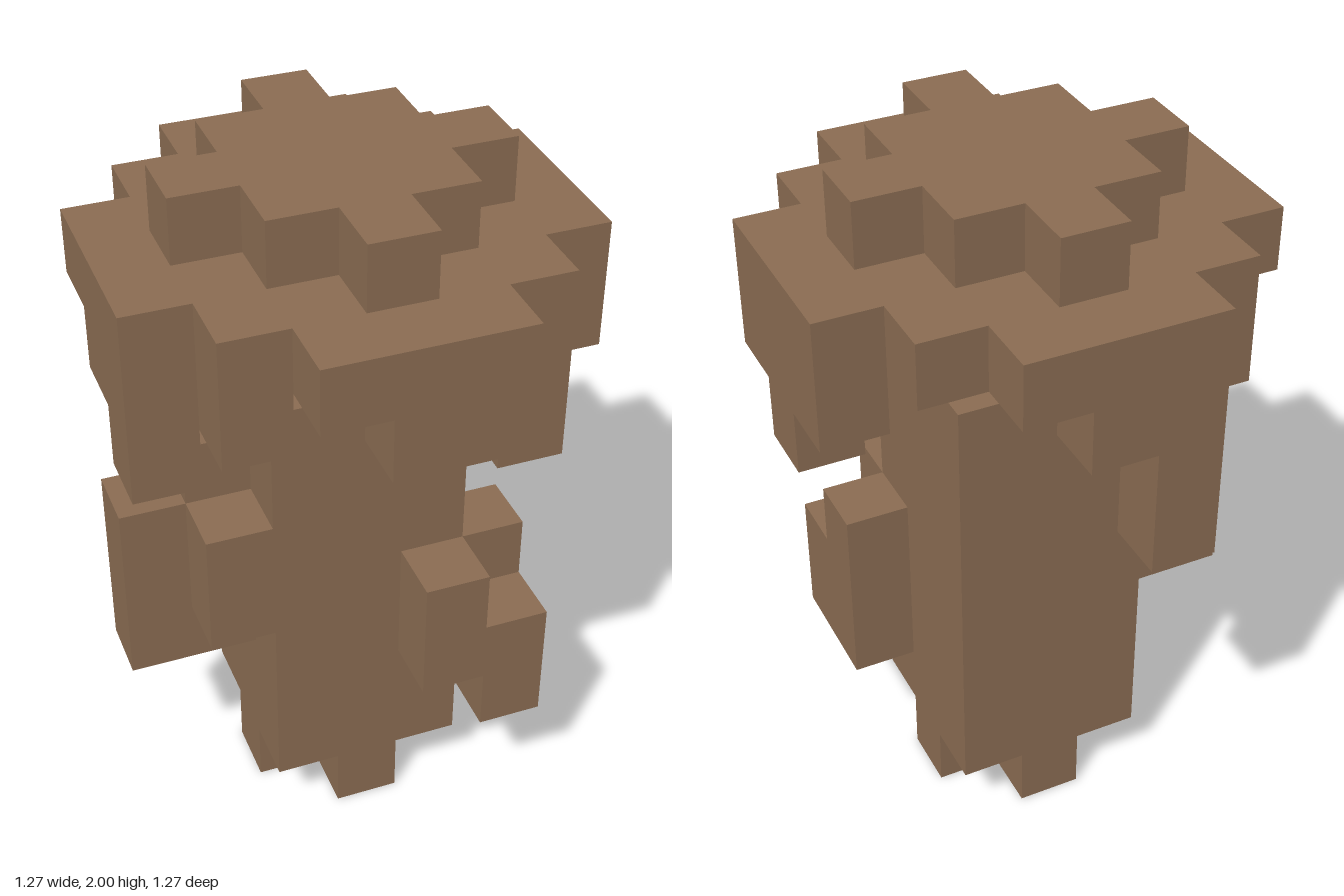
import * as THREE from 'three';

const U = 2 / 11; // one grid cell

export function createModel() {
  const model = new THREE.Group();
  const brown = new THREE.MeshStandardMaterial({ color: 0x8a6c52 });
  brown.name = 'brown';

  // block spanning inclusive cell ranges [from, to] on each axis
  const block = (parent, name, [x0, x1], [y0, y1], [z0, z1]) => {
    const size = [x1 - x0 + 1, y1 - y0 + 1, z1 - z0 + 1].map((n) => n * U);
    const mesh = new THREE.Mesh(new THREE.BoxGeometry(...size), brown);
    mesh.position.set(((x0 + x1) / 2) * U, ((y0 + y1 + 1) / 2) * U, ((z0 + z1) / 2) * U);
    mesh.name = name;
    parent.add(mesh);
  };
  const part = (name) => {
    const group = new THREE.Group();
    group.name = name;
    model.add(group);
    return group;
  };
  // plus-shaped layer: a centre row with one cell on each side
  const plus = (parent, name, y) => {
    block(parent, name, [-1, 1], [y, y], [0, 0]);
    for (const z of [-1, 1]) block(parent, name, [0, 0], [y, y], [z, z]);
  };

  // trunk with notched foot and neck
  const trunk = part('trunk');
  plus(trunk, 'trunkFoot', 0);
  block(trunk, 'trunkBody', [-1, 1], [1, 7], [-1, 1]);
  plus(trunk, 'trunkNeck', 8);

  // stepped round cap plate, one row of cells at a time
  const cap = part('cap');
  const halfWidths = [3, 3, 2, 1];
  for (let z = -3; z <= 3; z++) {
    const w = halfWidths[Math.abs(z)];
    block(cap, 'capRow', [-w, w], [9, 9], [z, z]);
  }

  // crown on top of the cap
  block(cap, 'crown', [-1, 1], [10, 10], [-1, 1]);
  for (const s of [-2, 2]) {
    block(cap, 'crownTip', [s, s], [10, 10], [0, 0]);
    block(cap, 'crownTip', [0, 0], [10, 10], [s, s]);
  }

  // hanging rim around the hollow underside: x, z, lowest layer
  const rim = part('hangingRim');
  const drops = [
    [-3, 0, 8], [-3, 1, 7],
    [3, -1, 8], [3, 0, 7], [3, 1, 8],
    [-1, -3, 6], [0, -3, 8],
    [0, 3, 8], [1, 3, 8],
    [2, 2, 7], [-2, 2, 8], [-2, -2, 8],
  ];
  for (const [x, z, low] of drops) block(rim, 'rimDrop', [x, x], [low, 8], [z, z]);

  // growth on the front corner
  const front = part('frontGrowth');
  block(front, 'growthCorner', [2, 2], [2, 3], [2, 2]);
  block(front, 'growthFront', [1, 1], [3, 4], [2, 2]);
  block(front, 'growthSide', [2, 2], [2, 4], [1, 1]);

  // growth on the -x side
  const side = part('sideGrowth');
  block(side, 'growthSlab', [-3, -2], [3, 5], [0, 0]);
  block(side, 'growthTop', [-2, -2], [6, 6], [0, 0]);
  block(side, 'growthFront', [-2, -2], [4, 5], [1, 1]);
  block(side, 'growthBack', [-2, -2], [5, 5], [-1, -1]);

  return model;
}
